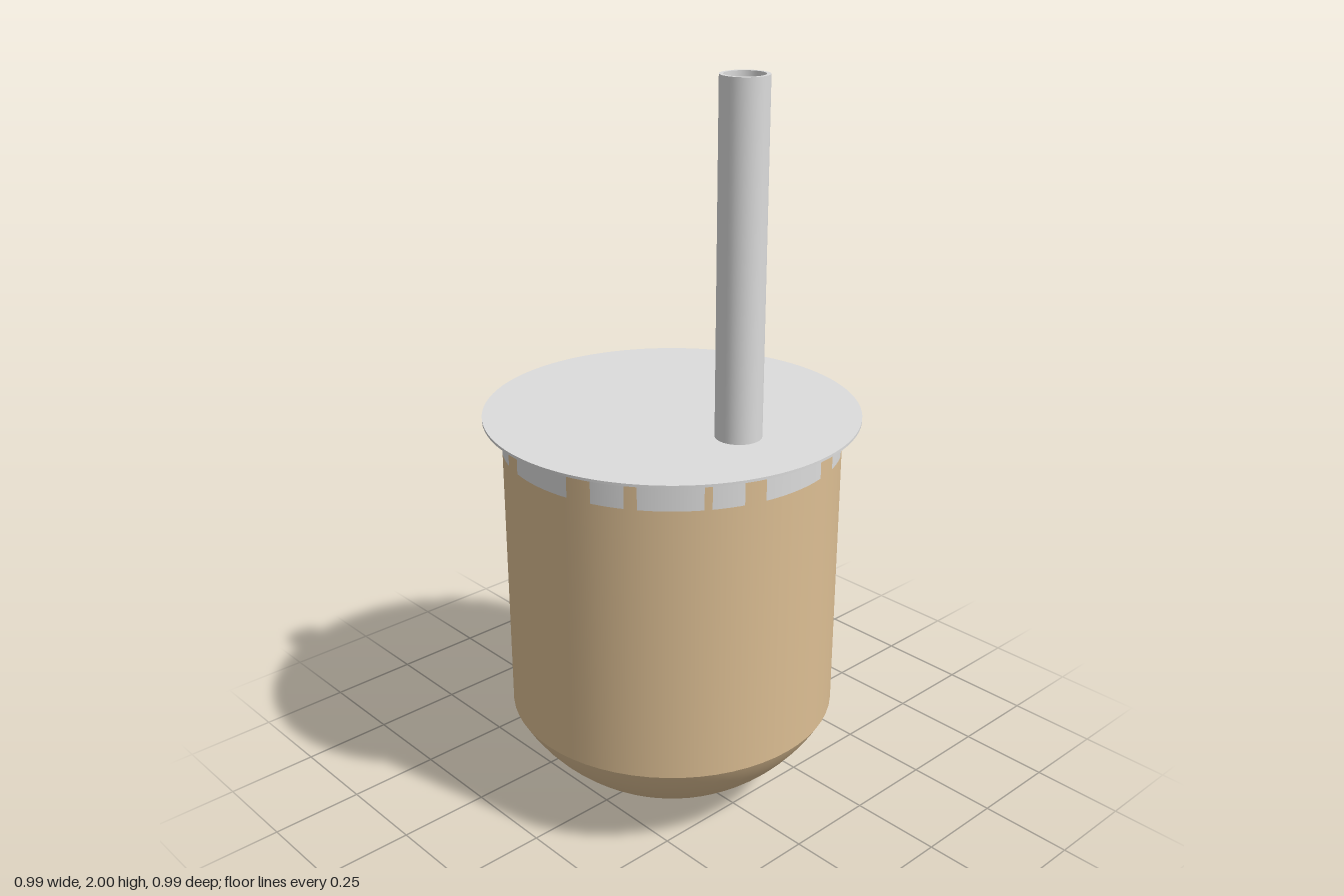
import * as THREE from 'three';

export function createModel() {
  const model = new THREE.Group();
  const tan = new THREE.MeshStandardMaterial({ color: 0xdcbe93 });
  tan.name = 'tan shell';
  const grey = new THREE.MeshStandardMaterial({ color: 0xdcdcdc, side: THREE.DoubleSide });
  grey.name = 'light grey';

  const add = (name, geometry, material, x = 0, y = 0, z = 0, parent = model) => {
    const mesh = new THREE.Mesh(geometry, material);
    mesh.name = name;
    mesh.position.set(x, y, z);
    parent.add(mesh);
    return mesh;
  };

  const R = 0.447, shoulder = 0.268, lidTop = 1.11, lidThickness = 0.007;
  const wallTop = lidTop - lidThickness;

  // Straight body wall
  const wallHeight = wallTop - shoulder;
  add('bodyWall', new THREE.CylinderGeometry(R, R, wallHeight, 64, 1, true), tan,
    0, shoulder + wallHeight / 2, 0);

  // Shallow spherical bottom, meeting the wall at a crisp edge
  const domeR = (R * R + shoulder * shoulder) / (2 * shoulder);
  const capAngle = Math.asin(R / domeR);
  add('domedBottom',
    new THREE.SphereGeometry(domeR, 64, 20, 0, Math.PI * 2, Math.PI - capAngle, capAngle),
    tan, 0, domeR, 0);

  // Thin overhanging lid
  add('lid', new THREE.CylinderGeometry(0.496, 0.496, lidThickness, 96), grey,
    0, lidTop - lidThickness / 2, 0);

  // Broken collar under the lid: [start, end] degrees, repeated each quarter turn
  const collar = new THREE.Group();
  collar.name = 'collar';
  model.add(collar);
  const patches = [[-12.5, 12.5], [21.2, 32.3], [36.4, 57], [59.5, 70]];
  const collarHeight = wallTop - 1.022;
  for (let quarter = 0; quarter < 4; quarter++) {
    for (const [start, end] of patches) {
      const from = THREE.MathUtils.degToRad(start + quarter * 90);
      const sweep = THREE.MathUtils.degToRad(end - start);
      add('collarPatch',
        new THREE.CylinderGeometry(R + 0.002, R + 0.002, collarHeight, 8, 1, true, from, sweep),
        grey, 0, 1.022 + collarHeight / 2, 0, collar);
    }
  }

  // Hollow upright pipe, with separate profiles so the rim stays sharp
  const pipe = new THREE.Group();
  pipe.name = 'pipe';
  pipe.position.set(-0.007, 0, 0.252);
  model.add(pipe);
  const outer = 0.06, inner = 0.05, pipeHeight = 2 - lidTop, mid = lidTop + pipeHeight / 2;
  add('pipeOuterWall', new THREE.CylinderGeometry(outer, outer, pipeHeight, 40, 1, true), grey, 0, mid, 0, pipe);
  add('pipeInnerWall', new THREE.CylinderGeometry(inner, inner, pipeHeight, 40, 1, true), grey, 0, mid, 0, pipe);
  add('pipeRim', new THREE.RingGeometry(inner, outer, 40), grey, 0, 2, 0, pipe).rotation.x = -Math.PI / 2;

  return model;
}
